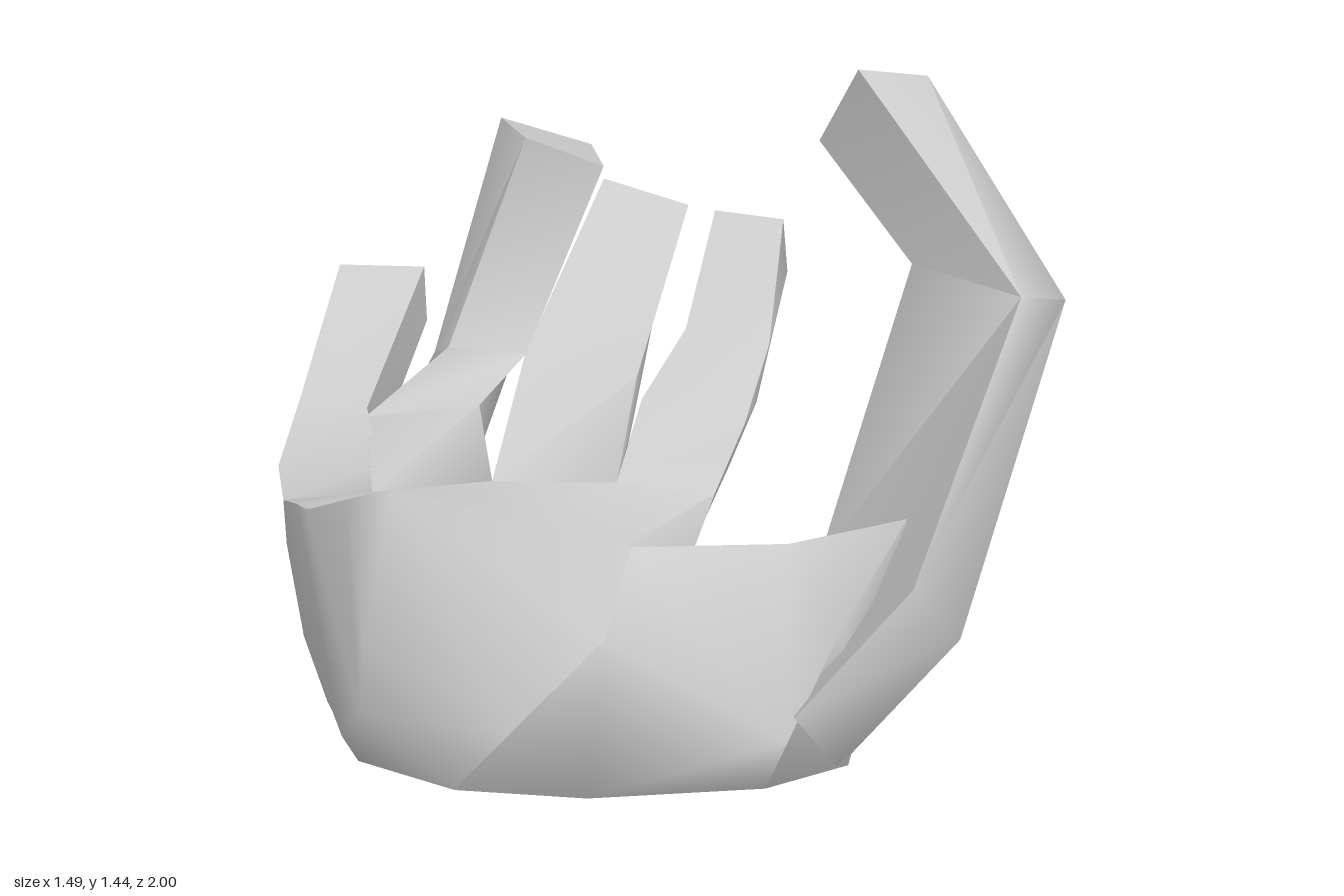
import * as THREE from 'three';
import { toCreasedNormals } from 'three/addons/utils/BufferGeometryUtils.js';

const material = new THREE.MeshStandardMaterial({ color: 0xcccccc });

// Skin a list of cross-sections (rings of [x, y, z]). The first ring stays open
// where parts join; the last is closed. Rings run counter-clockwise about the path.
function loft(name, rings) {
  const n = rings[0].length, last = (rings.length - 1) * n, index = [];
  const quad = (a, b, c, d) => index.push(a, b, c, a, c, d);
  for (let a = 0; a < last; a += n) {
    for (let i = 0; i < n; i++) {
      const j = (i + 1) % n;
      quad(a + i, a + j, a + n + j, a + n + i);
    }
  }
  // The end is a strip of quads running across the ring
  for (let i = 0; i < n / 2 - 1; i++) {
    quad(last + i, last + i + 1, last + n - 2 - i, last + n - 1 - i);
  }
  const points = rings.flat().map((p) => new THREE.Vector3(...p));
  const geometry = new THREE.BufferGeometry().setFromPoints(points);
  geometry.setIndex(index);
  const mesh = new THREE.Mesh(toCreasedNormals(geometry, 1.4), material);
  mesh.name = name;
  return mesh;
}

export function createModel() {
  const hand = new THREE.Group();
  hand.name = 'hand';

  // Palm, from knuckles to wrist: four points on top, one at the outer side,
  // four along the back of the hand and one at the thumb side
  hand.add(loft('palm', [
    [[0.23, 0.42, -0.06], [0.02, 0.47, -0.1], [-0.25, 0.52, -0.12], [-0.71, 0.62, -0.03], [-0.71, 0.52, -0.03],
      [-0.68, 0.43, -0.03], [-0.51, 0.37, -0.1], [-0.27, 0.29, -0.13], [0.1, 0.09, -0.08], [0.165, 0.25, -0.07]],
    [[0.1, 0.36, 0.1], [-0.08, 0.42, 0.1], [-0.35, 0.49, 0.1], [-0.72, 0.7, 0.13], [-0.74, 0.45, 0.2],
      [-0.71, 0.31, 0.23], [-0.67, 0.23, 0.2], [-0.3, 0.11, 0.14], [0.02, 0, 0.12], [0.07, 0.22, 0.11]],
    [[0.12, 0.45, 0.52], [0, 0.5, 0.45], [-0.37, 0.56, 0.38], [-0.72, 0.73, 0.21], [-0.75, 0.42, 0.5],
      [-0.73, 0.38, 0.53], [-0.54, 0.37, 0.68], [-0.22, 0.29, 0.7], [0.07, 0.2, 0.64], [0.13, 0.4, 0.53]],
    [[0.18, 0.58, 0.58], [0.02, 0.62, 0.6], [-0.36, 0.7, 0.56], [-0.67, 0.8, 0.32], [-0.74, 0.53, 0.6],
      [-0.64, 0.5, 0.83], [-0.43, 0.48, 0.91], [-0.12, 0.45, 0.96], [0.05, 0.44, 0.94], [0.2, 0.48, 0.62]],
    [[0.25, 0.79, 0.74], [0, 0.81, 0.77], [-0.31, 0.895, 0.81], [-0.62, 0.875, 0.44], [-0.73, 0.685, 0.62],
      [-0.57, 0.655, 0.92], [-0.4, 0.8, 0.92], [-0.1, 0.57, 1], [0.06, 0.68, 0.87], [0.25, 0.65, 0.72]],
  ]));

  const digits = {
    // Top, outer, lower and inner corner
    thumb: [
      [[-0.08, 0.6, 0.98], [0.03, 0.44, 0.94], [0.07, 0.2, 0.64], [0.12, 0.45, 0.52]],
      [[0.18, 0.75, 0.9], [0.3, 0.6, 0.87], [0.35, 0.49, 0.62], [0.2, 0.58, 0.5]],
      [[0.51, 1.14, 0.64], [0.65, 1.08, 0.57], [0.6, 1.06, 0.35], [0.44, 1.1, 0.36]],
      [[0.39, 1.44, 0.2], [0.55, 1.4, 0.18], [0.53, 1.22, 0.11], [0.36, 1.27, 0.11]],
    ],
    // Top left, top right, bottom right, bottom left
    indexFinger: [
      [[0.02, 0.47, -0.1], [0.23, 0.42, -0.06], [0.1, 0.09, -0.08], [-0.04, 0.17, -0.1]],
      [[0.17, 0.53, -0.33], [0.37, 0.48, -0.22], [0.38, 0.32, -0.32], [0.22, 0.36, -0.41]],
      [[0.36, 0.58, -0.53], [0.52, 0.56, -0.42], [0.53, 0.37, -0.5], [0.4, 0.42, -0.6]],
      [[0.57, 0.715, -0.85], [0.7, 0.715, -0.74], [0.74, 0.55, -0.79], [0.6, 0.57, -0.88]],
    ],
    middleFinger: [
      [[-0.25, 0.52, -0.12], [0.02, 0.47, -0.1], [-0.04, 0.17, -0.1], [-0.27, 0.29, -0.13]],
      [[-0.03, 0.59, -0.53], [0.17, 0.57, -0.36], [0.18, 0.4, -0.42], [0, 0.41, -0.56]],
      [[0.31, 0.81, -0.92], [0.5, 0.74, -0.85], [0.48, 0.62, -0.92], [0.31, 0.66, -1]],
    ],
    curledRingFinger: [
      [[-0.52, 0.575, -0.07], [-0.25, 0.52, -0.12], [-0.27, 0.29, -0.13], [-0.51, 0.37, -0.1]],
      [[-0.44, 0.57, -0.4], [-0.19, 0.56, -0.38], [-0.18, 0.41, -0.43], [-0.41, 0.42, -0.46]],
      [[-0.2, 0.62, -0.56], [-0.04, 0.6, -0.5], [0, 0.5, -0.7], [-0.18, 0.52, -0.74]],
      [[-0.02, 1.1, -0.53], [0.14, 1.03, -0.48], [0.18, 1.01, -0.66], [-0.02, 1.09, -0.69]],
    ],
    littleFinger: [
      [[-0.71, 0.62, -0.03], [-0.52, 0.575, -0.07], [-0.51, 0.37, -0.1], [-0.68, 0.43, -0.03]],
      [[-0.67, 0.58, -0.24], [-0.47, 0.56, -0.19], [-0.48, 0.42, -0.21], [-0.63, 0.43, -0.26]],
      [[-0.56, 0.6, -0.48], [-0.43, 0.58, -0.42], [-0.42, 0.43, -0.44], [-0.54, 0.45, -0.49]],
      [[-0.37, 0.74, -0.82], [-0.19, 0.73, -0.76], [-0.18, 0.58, -0.79], [-0.37, 0.6, -0.84]],
    ],
  };
  for (const [name, rings] of Object.entries(digits)) hand.add(loft(name, rings));

  return hand;
}
